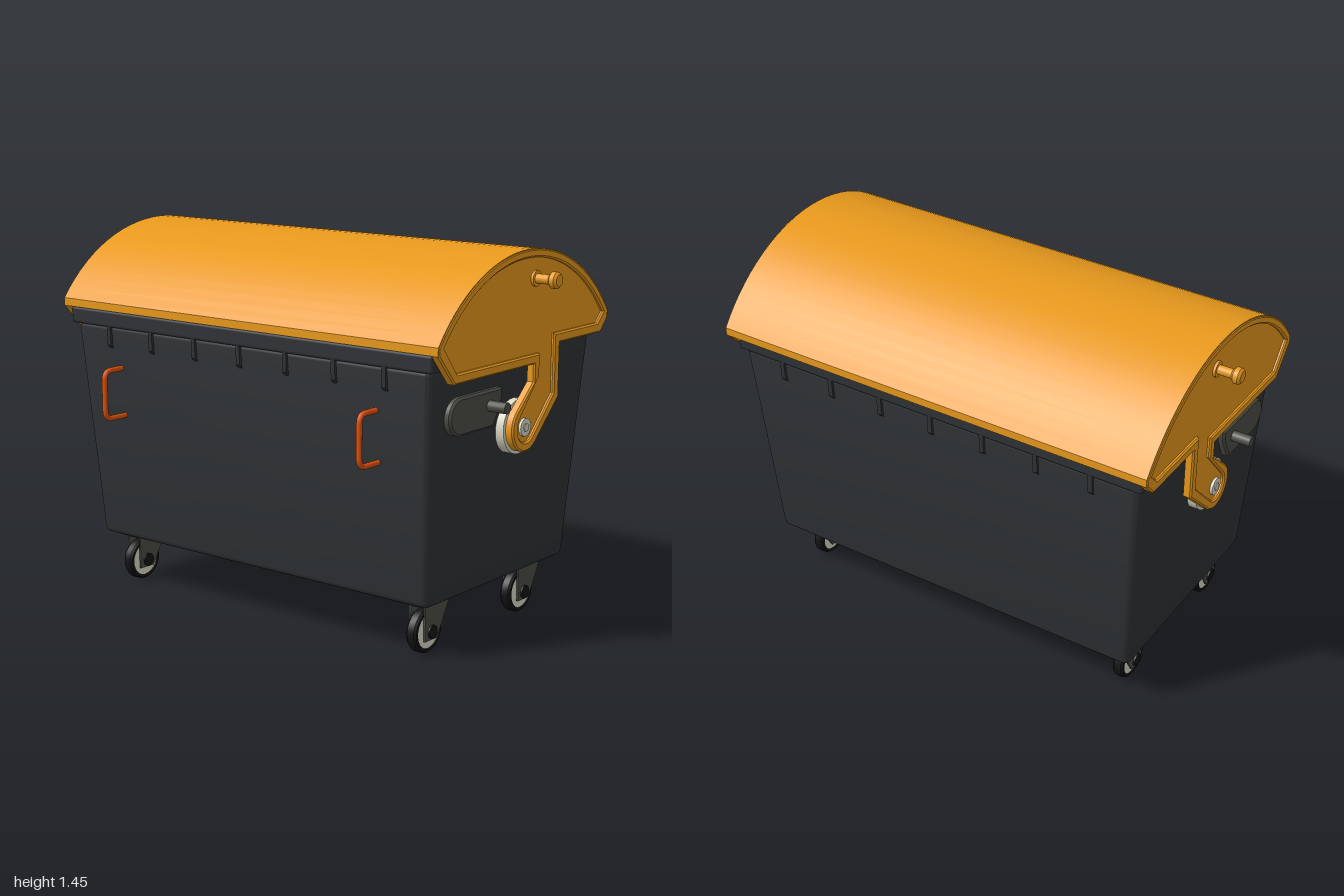
import * as THREE from 'three';
import { toCreasedNormals } from 'three/addons/utils/BufferGeometryUtils.js';
import { RoundedBoxGeometry } from 'three/addons/geometries/RoundedBoxGeometry.js';

const mat = (color) => new THREE.MeshStandardMaterial({ color });
const YELLOW = mat(0xe8991c), DARK = mat(0x2f3235), STEEL = mat(0x4c4c46);
const CREAM = mat(0xdcdac6), BLACK = mat(0x141414), ORANGE = mat(0xe2520e);
const ZC = -0.025; // depth centre of the tub
const PIVOT = [-0.036, 0.8]; // lid hinge (z, y)
const ARC = [-0.037, 0.761]; // centre of the lid curve (z, y)

function add(parent, name, geometry, material, x = 0, y = 0, z = 0) {
  const mesh = new THREE.Mesh(geometry, material);
  mesh.name = name;
  mesh.position.set(x, y, z);
  parent.add(mesh);
  return mesh;
}

// Extrudes a (z, y) profile along x between two positions
function prism(shape, xa, xb, bevel = 0) {
  const x0 = Math.min(xa, xb), x1 = Math.max(xa, xb);
  const g = new THREE.ExtrudeGeometry(shape, {
    depth: x1 - x0 - 2 * bevel, curveSegments: 14, bevelEnabled: bevel > 0,
    bevelSize: bevel, bevelThickness: bevel, bevelOffset: -bevel, bevelSegments: 1,
  });
  g.rotateY(-Math.PI / 2).translate(x1 - bevel, 0, 0);
  return toCreasedNormals(g, 0.5);
}

// Cylinder lying along x between two positions
function rod(r, xa, xb, sides = 24) {
  const g = new THREE.CylinderGeometry(r, r, Math.abs(xb - xa), sides);
  return g.rotateZ(Math.PI / 2).translate((xa + xb) / 2, 0, 0);
}

// Lid side outline: curved top, back edge, hinge arm, front edge
function lidOutline(R, angle, armRadius, back, front) {
  const s = new THREE.Shape();
  s.absarc(...ARC, R, angle, Math.PI - angle, false);
  back.forEach((p) => s.lineTo(...p));
  s.absarc(...PIVOT, armRadius, -2.34, 0.76, false);
  front.forEach((p) => s.lineTo(...p));
  s.closePath();
  return s;
}

function buildTub() {
  const tub = new THREE.Group();
  tub.name = 'tub';
  const w = 0.81, d = 0.453, r = 0.03, y0 = 0.205, y1 = 1.08, b = 0.022;
  const s = new THREE.Shape();
  s.absarc(w - r, d - r, r, 0, Math.PI / 2);
  s.absarc(-w + r, d - r, r, Math.PI / 2, Math.PI);
  s.absarc(-w + r, -d + r, r, Math.PI, Math.PI * 1.5);
  s.absarc(w - r, -d + r, r, Math.PI * 1.5, Math.PI * 2);
  s.closePath();
  let g = new THREE.ExtrudeGeometry(s, {
    depth: y1 - y0 - 2 * b, bevelSize: b, bevelThickness: b, bevelOffset: -b,
    bevelSegments: 4, curveSegments: 5,
  });
  g.rotateX(-Math.PI / 2).translate(0, y0 + b, 0);
  // Widen towards the top
  const p = g.attributes.position;
  for (let i = 0; i < p.count; i++) {
    const t = (p.getY(i) - y0) / (y1 - y0);
    p.setX(i, p.getX(i) * (1 + 0.062 * t));
    p.setZ(i, p.getZ(i) * (1 + 0.159 * t));
  }
  g = toCreasedNormals(g, 0.6);
  add(tub, 'tubBody', g, DARK, 0, 0, ZC);
  add(tub, 'rim', new RoundedBoxGeometry(1.754, 0.067, 1.07, 2, 0.012), DARK, 0, 1.103, ZC);

  // Tapered ribs under the rim, front and back
  for (const side of [1, -1]) {
    const rib = new THREE.Shape();
    [[0.48, 1.08], [0.533, 1.08], [0.53, 1.0], [0.515, 0.985], [0.48, 0.985]]
      .forEach(([z, y], i) => (i ? rib.lineTo(ZC + side * z, y) : rib.moveTo(ZC + side * z, y)));
    for (let i = -3; i <= 3; i++) {
      add(tub, 'rimRib', prism(rib, i * 0.224 - 0.009, i * 0.224 + 0.009), DARK);
    }
  }
  return tub;
}

function buildLid() {
  const lid = new THREE.Group();
  lid.name = 'lid';
  const a = 0.633;
  // Curved shell
  const shell = new THREE.Shape();
  shell.absarc(...ARC, 0.686, a, Math.PI - a, false);
  shell.lineTo(-0.59, 1.136);
  shell.lineTo(-0.562, 1.136);
  shell.absarc(...ARC, 0.66, Math.PI - a, a, true);
  shell.lineTo(0.488, 1.136);
  shell.lineTo(0.516, 1.136);
  shell.closePath();
  add(lid, 'lidShell', prism(shell, -0.908, 0.908), YELLOW);

  // Side plates with a raised border
  const outer = () => lidOutline(0.685, a, 0.09,
    [[-0.59, 1.136], [-0.54, 1.083], [-0.25, 1.083], [-0.25, 0.88]],
    [[-0.08, 0.96], [-0.08, 1.025], [0.42, 1.025], [0.516, 1.136]]);
  const border = outer();
  border.holes.push(lidOutline(0.654, 0.658, 0.055,
    [[-0.515, 1.122], [-0.212, 1.122], [-0.212, 0.9]],
    [[-0.117, 0.977], [-0.117, 1.062], [0.403, 1.062]]));
  for (const s of [1, -1]) {
    add(lid, 'lidSide', prism(outer(), s * 0.88, s * 0.898), YELLOW);
    add(lid, 'lidSideBorder', prism(border, s * 0.881, s * 0.911, 0.006), YELLOW);
    // Lifting pin
    add(lid, 'pinCollar', rod(0.03, s * 0.89, s * 0.908, 12), YELLOW, 0, 1.336, -0.09);
    add(lid, 'pinShaft', rod(0.018, s * 0.89, s * 0.98, 16), YELLOW, 0, 1.336, -0.09);
    const head = new THREE.LatheGeometry([[0, -0.018], [0.022, -0.018], [0.031, -0.009],
      [0.031, 0.009], [0.022, 0.018], [0, 0.018]].map((q) => new THREE.Vector2(...q)), 16);
    add(lid, 'pinHead', toCreasedNormals(head.rotateZ(Math.PI / 2), 0.5), YELLOW, s * 0.982, 1.336, -0.09);
  }
  return lid;
}

// Hinge disc and lock plate on one end
function buildEndFittings(s) {
  const end = new THREE.Group();
  end.name = s > 0 ? 'leftEndFittings' : 'rightEndFittings';
  const [z, y] = PIVOT;
  add(end, 'hingeDisc', rod(0.102, s * 0.82, s * 0.878, 32), CREAM, 0, y, z);
  add(end, 'hingeCap', rod(0.034, s * 0.88, s * 0.908), CREAM, 0, y, z);
  add(end, 'hingeBolt', rod(0.016, s * 0.9, s * 0.912, 6), CREAM, 0, y, z);
  const plate = new THREE.Shape();
  plate.absarc(0.325, 0.894, 0.069, Math.PI * 1.5, Math.PI * 2.5, false);
  [[0.072, 0.963], [0.072, 0.92], [0.122, 0.825]].forEach((q) => plate.lineTo(...q));
  plate.closePath();
  add(end, 'lockPlate', prism(plate, s * 0.82, s * 0.876, 0.008), STEEL);
  add(end, 'lockPeg', rod(0.021, s * 0.86, s * 0.95, 16), STEEL, 0, 0.906, 0.15);
  return end;
}

function handleGeometry() {
  const v = (y, z) => new THREE.Vector3(0, y, z);
  const path = new THREE.CurvePath();
  path.add(new THREE.LineCurve3(v(0.912, 0.46), v(0.912, 0.545)));
  path.add(new THREE.QuadraticBezierCurve3(v(0.912, 0.545), v(0.912, 0.58), v(0.877, 0.58)));
  path.add(new THREE.LineCurve3(v(0.877, 0.58), v(0.757, 0.58)));
  path.add(new THREE.QuadraticBezierCurve3(v(0.757, 0.58), v(0.722, 0.58), v(0.722, 0.545)));
  path.add(new THREE.LineCurve3(v(0.722, 0.545), v(0.722, 0.45)));
  return new THREE.TubeGeometry(path, 48, 0.011, 10);
}

// Swivel caster, origin on the floor below the axle
function buildCaster() {
  const c = new THREE.Group();
  c.name = 'caster';
  const R = 0.083;
  add(c, 'mountPlate', new THREE.BoxGeometry(0.1, 0.016, 0.19), STEEL, 0, 0.198, -0.028);
  add(c, 'forkTop', new THREE.BoxGeometry(0.072, 0.012, 0.143), STEEL, 0, 0.184, -0.03);
  const fork = new THREE.Shape();
  [[0.042, 0.19], [-0.102, 0.19], [-0.102, 0.176], [-0.032, 0.053], [0.042, 0.053]]
    .forEach((q, i) => (i ? fork.lineTo(...q) : fork.moveTo(...q)));
  fork.closePath();
  for (const s of [1, -1]) add(c, 'forkArm', prism(fork, s * 0.029, s * 0.036), STEEL);
  // Tyre ring around a pale wheel disc
  const tyre = new THREE.LatheGeometry([[0.066, -0.022], [0.077, -0.022], [R, -0.014],
    [R, 0.014], [0.077, 0.022], [0.066, 0.022], [0.066, -0.022]].map((q) => new THREE.Vector2(...q)), 32);
  add(c, 'tyre', toCreasedNormals(tyre.rotateZ(Math.PI / 2), 0.5), BLACK, 0, R, 0);
  add(c, 'wheelDisc', rod(0.068, -0.019, 0.019, 32), CREAM, 0, R, 0);
  add(c, 'axleHub', rod(0.026, -0.043, 0.043, 20), BLACK, 0, R, 0);
  return c;
}

export function createModel() {
  const model = new THREE.Group();
  model.name = 'wasteContainer';
  model.add(buildTub(), buildLid());
  for (const s of [1, -1]) {
    model.add(buildEndFittings(s));
    add(model, 'handle', handleGeometry(), ORANGE, s * 0.625, 0, 0);
    for (const z of [0.31, -0.297]) {
      const caster = buildCaster();
      caster.position.set(s * 0.715, 0, z);
      model.add(caster);
    }
  }
  return model;
}
